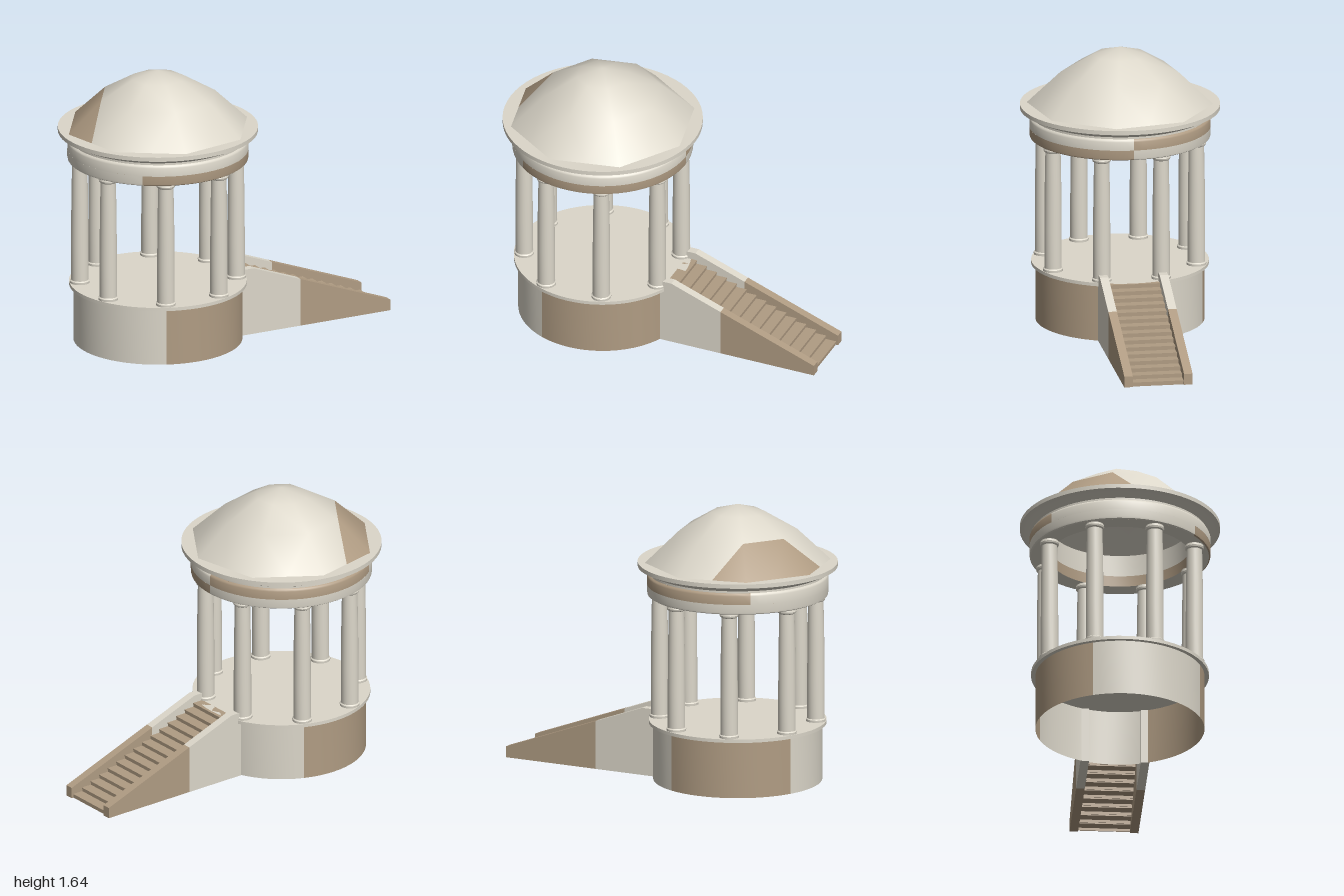
import * as THREE from 'three';
import { toCreasedNormals } from 'three/addons/utils/BufferGeometryUtils.js';

const CX = -0.42; // axis of the rotunda
const RAD = Math.PI / 180;

export function createModel() {
  const model = new THREE.Group();
  model.name = 'pavilion';
  const stone = new THREE.MeshStandardMaterial({ color: 0xdcd7ca, side: THREE.DoubleSide });
  stone.name = 'ivoryStone';
  const sand = new THREE.MeshStandardMaterial({ color: 0xb09c83, side: THREE.DoubleSide });
  sand.name = 'tanStone';

  const rotunda = new THREE.Group();
  rotunda.name = 'rotunda';
  rotunda.position.x = CX;
  model.add(rotunda);

  function add(parent, name, geometry, material) {
    const mesh = new THREE.Mesh(geometry, material);
    mesh.name = name;
    parent.add(mesh);
    return mesh;
  }

  // Turned part covering angles from..to in degrees, measured from +x towards +z
  function turned(points, from = 0, to = 360, sides = 64) {
    const segments = Math.max(3, Math.round(sides * (to - from) / 360));
    const profile = points.map(([r, y]) => new THREE.Vector2(r, y));
    const lathe = new THREE.LatheGeometry(profile, segments, (90 - to) * RAD, (to - from) * RAD);
    return toCreasedNormals(lathe, 35 * RAD);
  }

  // Drum: open wall in four alternating quarters
  for (let i = 0; i < 4; i++) {
    const start = 22.5 + i * 90;
    add(rotunda, 'drumWall', turned([[0.49, 0], [0.49, 0.34]], start, start + 90), i % 2 ? stone : sand);
  }

  // Floor slab with projecting lip
  add(rotunda, 'floorSlab', turned([[0, 0.335], [0.515, 0.335], [0.515, 0.355], [0, 0.355]]), stone);

  // Eight columns with base and neck mouldings
  const columnGeometry = turned([
    [0.057, 0.352], [0.058, 0.368], [0.051, 0.374], [0.051, 0.6], [0.049, 0.85],
    [0.045, 1.07], [0.053, 1.076], [0.056, 1.086], [0.053, 1.092], [0.053, 1.102],
  ], 0, 360, 20);
  for (let i = 0; i < 8; i++) {
    const a = (22.5 + i * 45) * RAD;
    add(rotunda, 'column', columnGeometry, stone)
      .position.set(Math.cos(a) * 0.455, 0, Math.sin(a) * 0.455);
  }

  // Entablature: two bands, each partly tan
  const lowerBand = [[0.515, 1.1], [0.523, 1.105], [0.525, 1.115], [0.525, 1.16]];
  const upperBand = [[0.525, 1.16], [0.525, 1.21], [0.521, 1.22], [0.512, 1.226]];
  add(rotunda, 'lowerBandTan', turned(lowerBand, 0, 128), sand);
  add(rotunda, 'lowerBand', turned(lowerBand, 128, 360), stone);
  add(rotunda, 'upperBandTan', turned(upperBand, 233, 360), sand);
  add(rotunda, 'upperBand', turned(upperBand, 0, 233), stone);
  add(rotunda, 'entablatureSoffit', turned([[0.41, 1.1], [0.515, 1.1]]), stone);
  add(rotunda, 'innerBandTan', turned([[0.41, 1.165], [0.41, 1.1]]), sand);
  add(rotunda, 'innerBand', turned([[0.41, 1.295], [0.41, 1.165]]), stone);

  // Flared cornice
  add(rotunda, 'cornice', turned([
    [0.512, 1.226], [0.512, 1.238], [0.53, 1.246], [0.562, 1.268],
    [0.58, 1.27], [0.58, 1.295], [0.41, 1.295],
  ]), stone);

  // Eight-sided dome, its lowest tier split at mid-side
  const rings = [[0.54, 1.295], [0.345, 1.48], [0.155, 1.59]];
  const position = [];
  const stoneFaces = [], sandFaces = [];
  for (const [r, y] of rings) {
    for (let k = 0; k < 8; k++) {
      const a = (11 + k * 45) * RAD;
      position.push(r * Math.cos(a), y, r * Math.sin(a));
    }
  }
  const midRadius = 0.54 * Math.cos(22.5 * RAD);
  for (let k = 0; k < 8; k++) {
    const a = (33.5 + k * 45) * RAD;
    position.push(midRadius * Math.cos(a), 1.295, midRadius * Math.sin(a));
  }
  position.push(0, 1.635, 0);
  for (let k = 0; k < 8; k++) {
    const n = (k + 1) % 8, mid = 24 + k;
    // tan patch: one whole side and the half triangles beside it
    (k === 4 || k === 5 ? sandFaces : stoneFaces).push(k, 8 + k, mid);
    (k === 4 ? sandFaces : stoneFaces).push(mid, 8 + k, 8 + n);
    (k === 3 || k === 4 ? sandFaces : stoneFaces).push(mid, 8 + n, n);
    stoneFaces.push(8 + k, 16 + k, 16 + n, 8 + k, 16 + n, 8 + n);
    stoneFaces.push(16 + k, 32, 16 + n);
  }
  const dome = new THREE.BufferGeometry();
  dome.setAttribute('position', new THREE.Float32BufferAttribute(position, 3));
  dome.setIndex([...stoneFaces, ...sandFaces]);
  dome.addGroup(0, stoneFaces.length, 0);
  dome.addGroup(stoneFaces.length, sandFaces.length, 1);
  dome.computeVertexNormals();
  add(rotunda, 'dome', dome, [stone, sand]);

  // Staircase
  const stairs = new THREE.Group();
  stairs.name = 'staircase';
  model.add(stairs);

  // Side walls, ivory near the drum and tan towards the foot
  const splitX = 0.41;
  const splitY = 0.4 - (splitX - 0.1) * (0.335 / 0.9);
  function wall(points) {
    const shape = new THREE.Shape(points.map(([x, y]) => new THREE.Vector2(x, y)));
    return new THREE.ExtrudeGeometry(shape, { depth: 0.05, bevelEnabled: false });
  }
  const upperWall = wall([[0.03, 0], [splitX, 0], [splitX, splitY], [0.1, 0.4], [0.03, 0.4]]);
  const lowerWall = wall([[splitX, 0], [1, 0], [1, 0.065], [splitX, splitY]]);
  for (const z of [-0.2, 0.15]) {
    add(stairs, 'upperSideWall', upperWall, stone).position.z = z;
    add(stairs, 'lowerSideWall', lowerWall, sand).position.z = z;
  }

  // Treads and risers
  const count = 15, run = 0.0627, rise = 0.355 / count;
  const tread = new THREE.BoxGeometry(run + 0.006, 0.008, 0.3);
  const riser = new THREE.BoxGeometry(0.006, rise, 0.3);
  for (let i = 0; i < count; i++) {
    const x = 0.045 + i * run, top = 0.355 - i * rise;
    add(stairs, 'tread', tread, sand).position.set(x + run / 2, top - 0.004, 0);
    add(stairs, 'riser', riser, sand).position.set(x + run - 0.003, top - rise / 2 - 0.001, 0);
  }

  return model;
}
